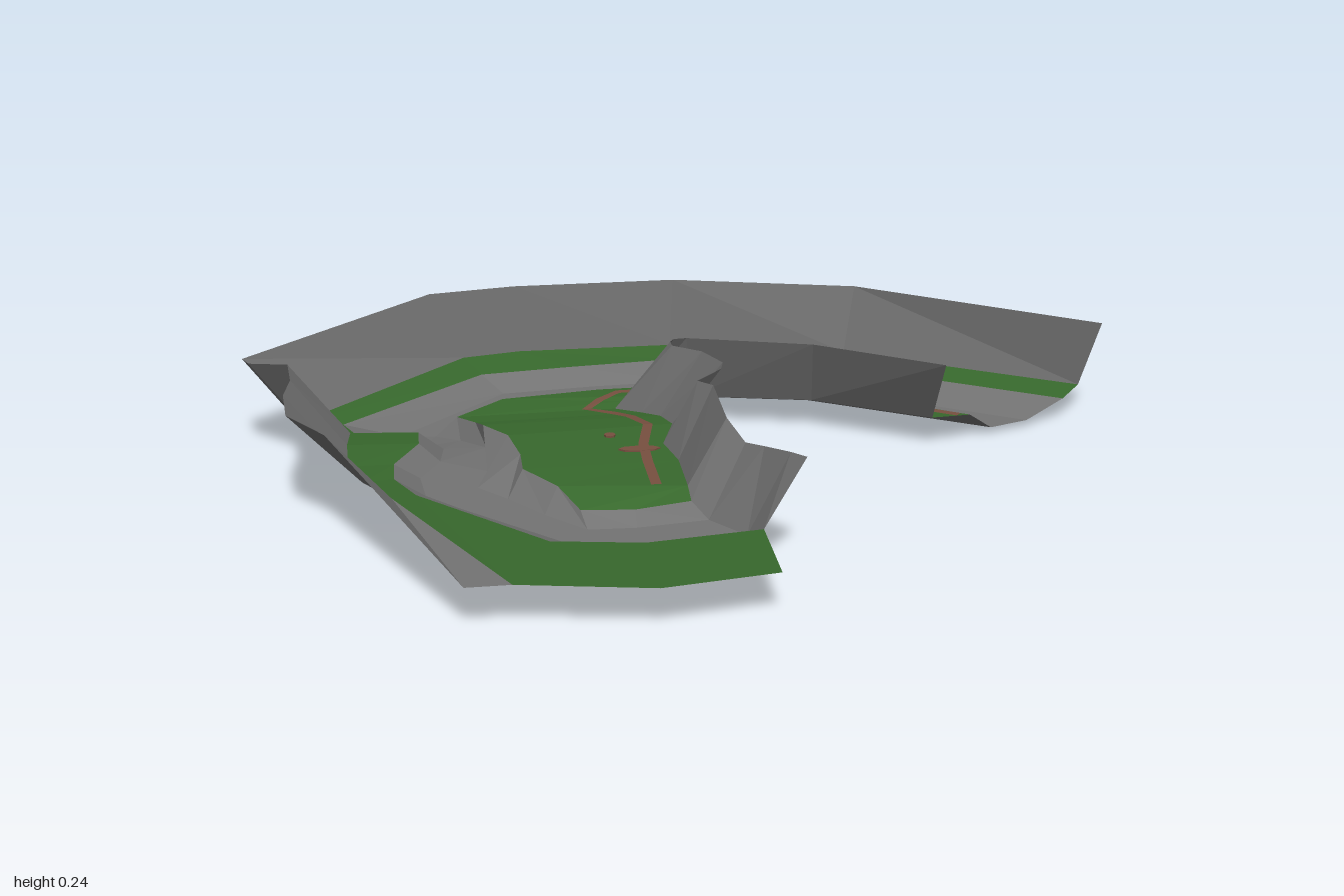
import * as THREE from 'three';

// Plan lines (x, z per station), running from the north-east end round to the south.
const PLAN = {
  rim: [.995, -.36, .48, -.78, .04, -.9, -.36, -.88, -.57, -.845, -1, -.36, -.98, -.265, -.89, -.175, -.88, -.05,
    -.89, .08, -.88, .21, -.8, .32, -.54, .845],
  shelfOuter: [.955, -.4, .45, -.75, .03, -.885, -.35, -.87, -.49, -.845, -.88, -.36, -.85, -.25, -.76, -.185, -.765, -.05,
    -.76, .1, -.73, .21, -.67, .32, -.45, .84, -.18, .89, .055, .835],
  shelfInner: [.9, -.33, .44, -.655, .03, -.795, -.23, -.755, -.45, -.73, -.78, -.37, -.75, -.26, -.61, -.21, -.61, -.08,
    -.665, .06, -.665, .16, -.62, .27, -.365, .58, -.18, .61, .06, .56],
  bedOuter: [.8, -.275, .42, -.55, .03, -.71, -.18, -.69, -.4, -.67, -.65, -.37, -.61, -.25, -.555, -.185, -.565, -.05,
    -.61, .06, -.6, .18, -.53, .27, -.33, .5, -.18, .535, .035, .5],
  bedInner: [.705, -.23, .32, -.495, .03, -.58, -.18, -.565, -.35, -.54, -.57, -.36, -.515, -.29, -.46, -.185, -.465, .03,
    -.49, .14, -.43, .22, -.36, .33, -.28, .43, -.18, .43, -.03, .4],
  floorOuter: [.645, -.19, .3, -.455, .03, -.525, -.18, -.51, -.41, -.475, -.52, -.36, -.48, -.28, -.465, -.21, -.415, -.08,
    -.395, .06, -.395, .16, -.33, .28, -.29, .38, -.18, .39, -.06, .35],
  floorInner: [.55, -.155, .3, -.325, .03, -.405, -.1, -.42, -.13, -.4, -.155, -.36, -.1, -.29, -.065, -.21, -.05, -.1,
    -.085, .04, -.065, .16, -.065, .33, -.065, .33, -.065, .33, -.065, .33],
  wallTop: [.555, -.05, .29, -.255, .01, -.345, -.02, -.34, -.03, -.32, -.03, -.285, .03, -.21, .06, -.08, .05, -.03,
    -.01, .04, .015, .11, .015, .33, .05, .36, .08, .42, .12, .51, .145, .56],
};

// Riverbed level per station; banks, shelf and floor follow it by fixed offsets.
const BED = [.015, .015, .01, .01, .005, 0, .01, .025, .04, .04, .04, .04, .04, .04, .04];
const RISE = { shelfOuter: .045, shelfInner: .033, bedOuter: 0, bedInner: 0, floorOuter: .045, floorInner: .052 };
const RIM_Y = [.22, .22, .22, .22, .215, .2, .215, .235, .235, .24, .235, .225, .085];
const WALL_Y = [.22, .22, .22, .22, .22, .22, .225, .235, .235, .23, .24, .235, .19, .2, .215, .22];
const PATH_AT = [.3, .35, .35, .5, .8, .82, .83, .83, .85, .86, .8, .76];

const line = (name, height) => {
  const points = [];
  for (let i = 0; i < PLAN[name].length / 2; i++) {
    points.push(new THREE.Vector3(PLAN[name][2 * i], height(i), PLAN[name][2 * i + 1]));
  }
  return points;
};

// Faceted ribbon between two lines of equal length, facing up.
function ribbon(name, a, b, material) {
  const pos = [];
  const n = Math.min(a.length, b.length);
  for (let i = 0; i < n - 1; i++) {
    for (const p of [a[i], a[i + 1], b[i], a[i + 1], b[i + 1], b[i]]) pos.push(p.x, p.y, p.z);
  }
  const geometry = new THREE.BufferGeometry();
  geometry.setAttribute('position', new THREE.Float32BufferAttribute(pos, 3));
  geometry.computeVertexNormals();
  const mesh = new THREE.Mesh(geometry, material);
  mesh.name = name;
  return mesh;
}

export function createModel() {
  const paint = (name, color) => {
    const m = new THREE.MeshStandardMaterial({ color, side: THREE.DoubleSide, flatShading: true });
    m.name = name;
    return m;
  };
  const rock = paint('grey rock', 0x737373);
  const grass = paint('green grass', 0x38692d);
  const dirt = paint('brown dirt', 0x785040);

  const L = {};
  for (const name in RISE) L[name] = line(name, i => BED[i] + RISE[name]);
  // The apron stays level with the bank at the southern end
  L.floorOuter[12].y = L.floorOuter[13].y = L.floorOuter[14].y = .065;
  const rim = line('rim', i => RIM_Y[i]);
  const wallTop = line('wallTop', i => WALL_Y[i]);
  // The inner cliff follows the floor, then crosses the riverbed to the shelf
  const wallFoot = [...L.floorInner.slice(0, 12),
    ...['floorOuter', 'bedInner', 'bedOuter', 'shelfInner'].map(k => L[k][14])];

  const model = new THREE.Group();
  model.name = 'riverValley';
  model.add(
    ribbon('outerCliff', rim, L.shelfOuter, rock),
    ribbon('outerShelf', L.shelfOuter, L.shelfInner, grass),
    ribbon('outerBank', L.shelfInner, L.bedOuter, rock),
    ribbon('riverbed', L.bedOuter, L.bedInner, rock),
    ribbon('innerBank', L.bedInner, L.floorOuter, rock),
    ribbon('valleyFloor', L.floorOuter, L.floorInner, grass),
    ribbon('innerCliff', wallFoot, wallTop, rock),
  );

  // Footpath laid just above the valley floor
  const centre = PATH_AT.map((t, i) => {
    const p = L.floorOuter[i].clone().lerp(L.floorInner[i], t);
    p.y += .003;
    return p;
  });
  const side = s => centre.map((p, i) => {
    const d = centre[Math.min(i + 1, 11)].clone().sub(centre[Math.max(i - 1, 0)]).setY(0).normalize();
    return new THREE.Vector3(p.x - d.z * s, p.y, p.z + d.x * s);
  });
  model.add(ribbon('footpath', side(.011), side(-.011), dirt));

  // Bare patches beside the path
  for (const [x, z, w, d] of [[-.14, .075, .09, .035], [-.195, -.03, .025, .03]]) {
    const patch = new THREE.Mesh(new THREE.CylinderGeometry(.5, .5, .004, 8), dirt);
    patch.scale.set(w, 1, d);
    patch.position.set(x, .0925, z);
    patch.name = 'barePatch';
    model.add(patch);
  }
  return model;
}
